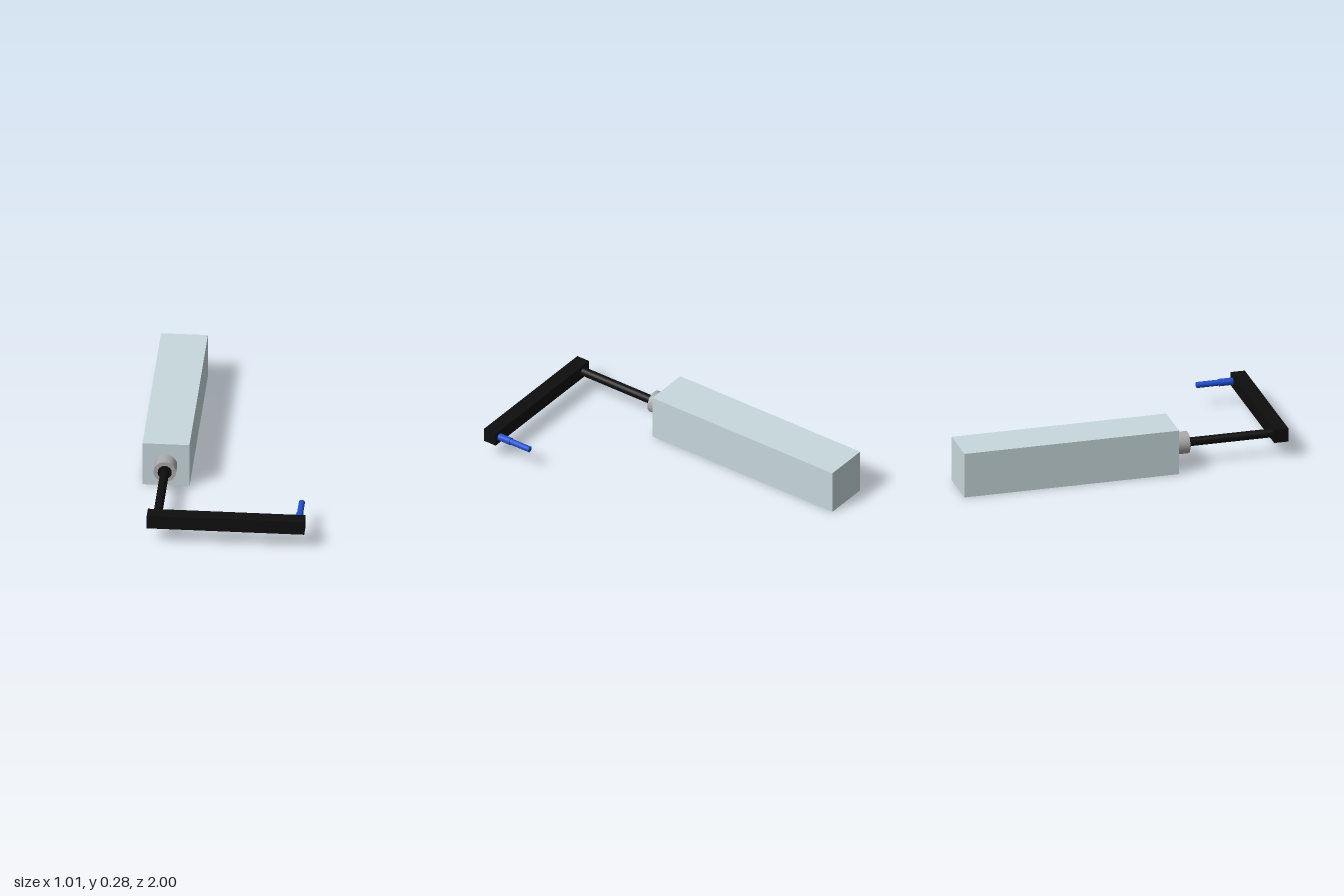
import * as THREE from 'three';

export function createModel() {
  const model = new THREE.Group();
  const axisX = -0.367, axisY = 0.139;
  const casing = new THREE.MeshStandardMaterial({ color: 0xc8d8dd });
  const steel = new THREE.MeshStandardMaterial({ color: 0xaaaaaa });
  const black = new THREE.MeshStandardMaterial({ color: 0x0e0e0e });
  const blue = new THREE.MeshStandardMaterial({ color: 0x1f4fd0 });

  const add = (name, geometry, material, x, y, z) => {
    const mesh = new THREE.Mesh(geometry, material);
    mesh.name = name;
    mesh.position.set(x, y, z);
    model.add(mesh);
  };
  // Box and cylinder spanning z0..z1
  const block = (name, w, h, z0, z1, material, x, y) =>
    add(name, new THREE.BoxGeometry(w, h, z1 - z0), material, x, y, (z0 + z1) / 2);
  const rod = (name, r, z0, z1, material, x) =>
    add(name, new THREE.CylinderGeometry(r, r, z1 - z0, 40).rotateX(Math.PI / 2),
      material, x, axisY, (z0 + z1) / 2);

  // Long housing
  block('housing', 0.276, 0.276, -1, 0.31, casing, axisX, 0.138);

  // Shaft with its bearing collar and seal
  rod('collar', 0.066, 0.31, 0.4, steel, axisX);
  rod('seal', 0.041, 0.39, 0.41, black, axisX);
  rod('shaft', 0.026, 0.4, 0.93, black, axisX);

  // Crank arm
  block('crankArm', 0.928, 0.084, 0.914, 1, black, 0.04, axisY);

  // Stepped handle pin, pointing back from the end of the arm
  rod('handleBase', 0.022, 0.83, 0.92, blue, 0.465);
  rod('handlePin', 0.018, 0.693, 0.84, blue, 0.465);

  return model;
}
